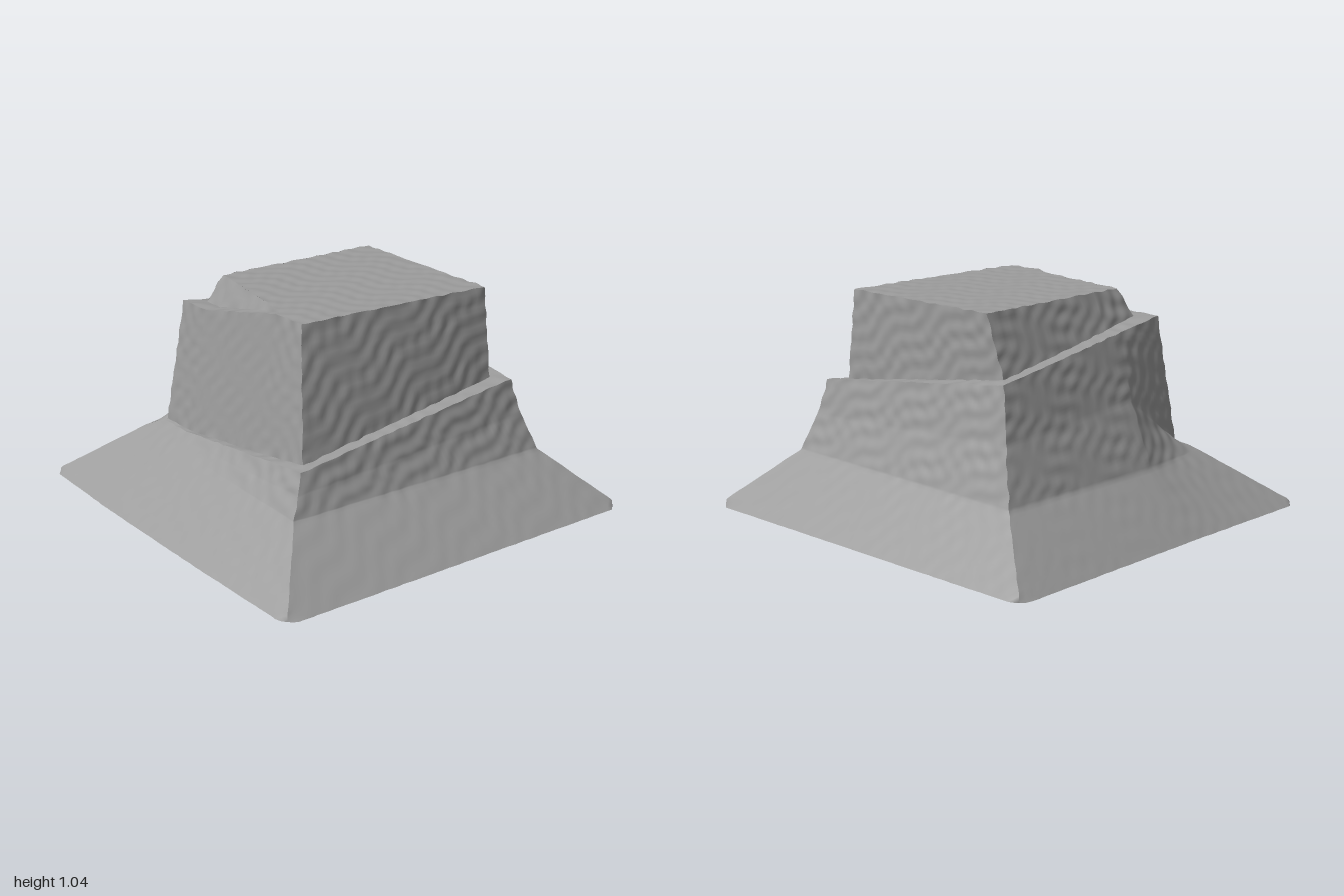
import * as THREE from 'three';

const vec = (x, y, z) => new THREE.Vector3(x, y, z);
const ring = points => points.map(p => vec(...p));
// Closed level ring from [x, z] pairs
const levelRing = (y, points) => [...points, points[0]].map(([x, z]) => vec(x, y, z));

// Each ring runs: front-left, two front points, front-right, back-right, back-left, left, front-left again.
// The ledge climbs one full turn, so its rings start low and end high.
const foot = levelRing(0, [[-0.98, 0.96], [-0.4, 0.97], [0.25, 0.96], [1, 0.94], [0.96, -0.99], [-1, -0.94], [-0.98, 0.2]]);
const bend = levelRing(0.27, [[-0.65, 0.62], [-0.35, 0.65], [0.2, 0.67], [0.68, 0.68], [0.68, -0.7], [-0.7, -0.7], [-0.71, 0.2]]);
const ledgeOuter = ring([
  [-0.575, 0.3075, 0.5655], [-0.35, 0.32, 0.575], [0.2, 0.395, 0.585], [0.61, 0.45, 0.59],
  [0.59, 0.61, -0.6], [-0.53, 0.76, -0.56], [-0.51, 0.87, 0.2], [-0.5, 0.91, 0.48],
]);
const ledgeInner = ring([
  [-0.56, 0.315, 0.555], [-0.35, 0.32, 0.553], [0.2, 0.395, 0.548], [0.55, 0.45, 0.54],
  [0.52, 0.61, -0.53], [-0.46, 0.76, -0.49], [-0.43, 0.87, 0.2], [-0.42, 0.91, 0.4],
]);

// Hollow curve of the wall between bend and ledge, ending where the ledge starts
const flare = bend.map((p, i) => {
  const q = p.clone().lerp(ledgeOuter[i], 0.5);
  const inset = 1 - 0.05 * (ledgeOuter[i].y - p.y);
  return q.multiply(vec(inset, 1, inset));
});
flare[7] = ledgeInner[0].clone();

// Plateau corners, and the front ledge that rises until it meets the plateau
const frontLeft = vec(-0.37, 1.04, 0.34), frontRight = vec(0.43, 1.04, 0.46);
const backRight = vec(0.48, 1.04, -0.52), backLeft = vec(-0.37, 1.04, -0.5);
const top = [
  frontLeft, frontLeft.clone().lerp(frontRight, 0.09), frontLeft.clone().lerp(frontRight, 0.775), frontRight,
  backRight, backLeft, backLeft.clone().lerp(frontLeft, 0.8), frontLeft,
];
const upperOuter = [ledgeOuter[7], vec(-0.3, 0.915, 0.479), vec(0.25, 1.04, 0.467), ...top.slice(3)];
const upperInner = [ledgeInner[7], vec(-0.3, 0.915, 0.405), ...top.slice(2)];

const SIDES = { front: [0, 3], left: [3, 4], back: [4, 5], right: [5, 7] };
const BANDS = {
  Wall: [foot, bend, flare, ledgeOuter],
  Ledge: [ledgeOuter, ledgeInner],
  UpperWall: [ledgeInner, upperOuter],
};
const FRONT_BANDS = { UpperLedge: [upperOuter, upperInner], Step: [upperInner, top] };

const material = new THREE.MeshStandardMaterial({ color: 0x9c9c9c, side: THREE.DoubleSide });

// Point along a polyline, t counted in segments
function along(points, t) {
  const i = Math.min(Math.floor(t), points.length - 2);
  return points[i].clone().lerp(points[i + 1], t - i);
}

// Irregular ripples made of a few crossing waves
function ripple(a, b) {
  return Math.sin(38 * a + 61 * b + 2 * Math.sin(17 * a - 9 * b))
    + 0.7 * Math.sin(71 * a - 33 * b + 2 * Math.sin(23 * b + 8 * a));
}

// Hand-hewn unevenness, the same for equal positions so that patches stay joined; the skirt is smoother
function roughen(p) {
  const { x, y, z } = p;
  const corner = Math.min(1, 1.89 / (Math.abs(x) + Math.abs(z)));
  const amount = 0.0012 + 0.001 * THREE.MathUtils.smoothstep(y, 0.2, 0.35);
  p.x = x * corner + amount * ripple(z, y);
  p.z = z * corner + amount * ripple(x, y + 0.4);
  p.y += 0.0016 * THREE.MathUtils.smoothstep(y, 0.2, 0.35) * ripple(x, z);
  return p;
}

// Smooth grid patch spanned by polylines stacked from bottom to top
function patch(name, lines, rowsPerBand) {
  const spans = lines[0].length - 1;
  const cols = spans * Math.ceil(60 / spans);
  const rows = (lines.length - 1) * rowsPerBand;
  const positions = [], index = [];
  for (let r = 0; r <= rows; r++) {
    for (let c = 0; c <= cols; c++) {
      const column = lines.map(line => along(line, c / cols * spans));
      const p = roughen(along(column, r / rows * (lines.length - 1)));
      positions.push(p.x, p.y, p.z);
      if (r < rows && c < cols) {
        const a = r * (cols + 1) + c, b = a + cols + 1;
        index.push(a, a + 1, b + 1, a, b + 1, b);
      }
    }
  }
  const geometry = new THREE.BufferGeometry();
  geometry.setAttribute('position', new THREE.Float32BufferAttribute(positions, 3));
  geometry.setIndex(index);
  geometry.computeVertexNormals();
  const mesh = new THREE.Mesh(geometry, material);
  mesh.name = name;
  return mesh;
}

export function createModel() {
  const group = new THREE.Group();
  group.name = 'steppedTower';

  // Four sides, open underneath; only the front has the second ledge
  for (const [side, [from, to]] of Object.entries(SIDES)) {
    const bands = side === 'front' ? { ...BANDS, ...FRONT_BANDS } : BANDS;
    for (const [band, rings] of Object.entries(bands)) {
      const lines = rings.map(points => points.slice(from, to + 1));
      group.add(patch(side + band, lines, band.endsWith('Wall') ? 20 : 4));
    }
  }

  // Flat top
  group.add(patch('plateau', [[frontLeft, frontRight], [backLeft, backRight]], 50));
  return group;
}
